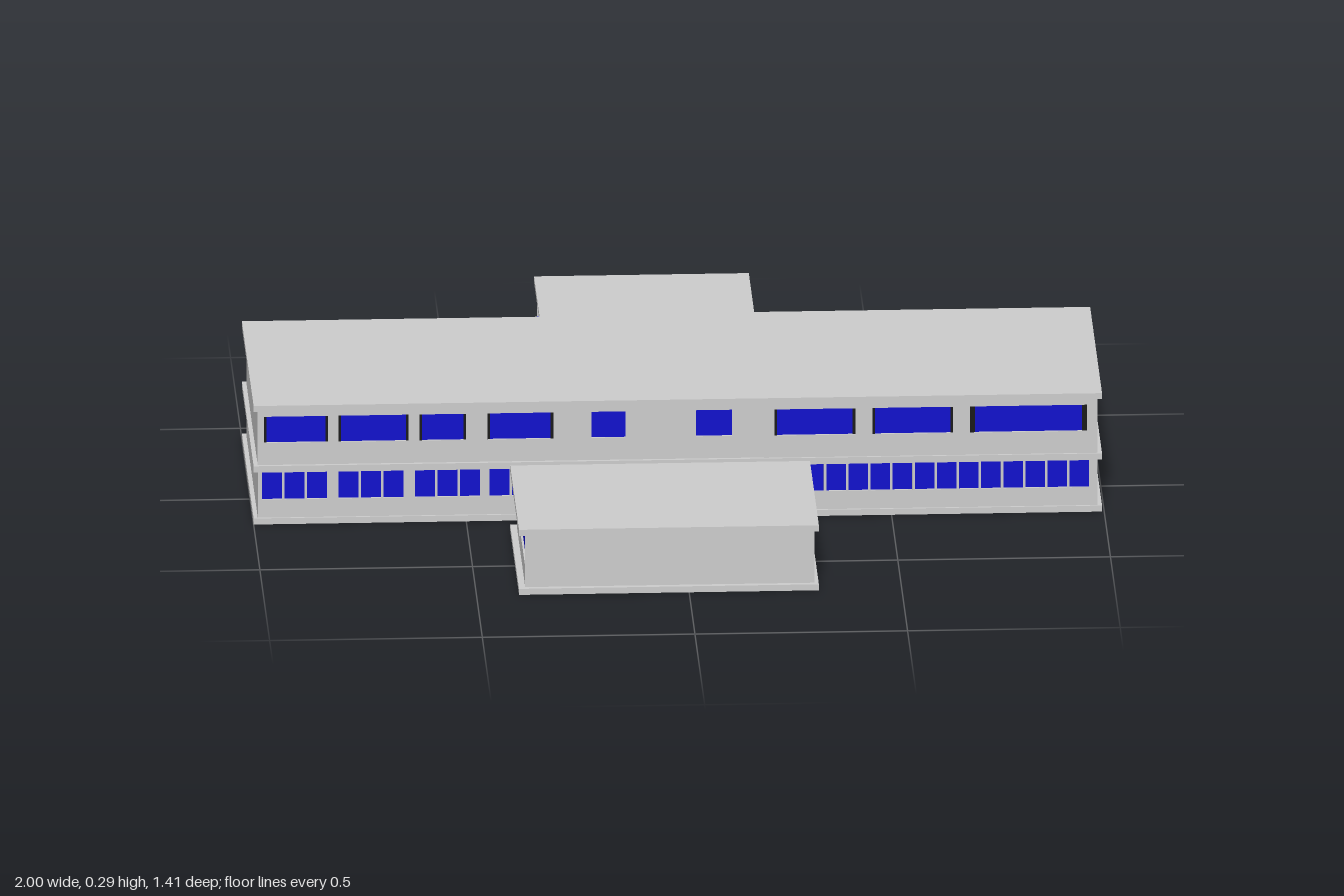
import * as THREE from 'three';

const grey = new THREE.MeshStandardMaterial({ color: 0xcccccc, flatShading: true });
const blue = new THREE.MeshStandardMaterial({ color: 0x0a0acc });
const dark = new THREE.MeshStandardMaterial({ color: 0x151515 });

function box(parent, name, mat, [x0, x1], [y0, y1], [z0, z1]) {
  const m = new THREE.Mesh(new THREE.BoxGeometry(x1 - x0, y1 - y0, z1 - z0), mat);
  m.position.set((x0 + x1) / 2, (y0 + y1) / 2, (z0 + z1) / 2);
  m.name = name;
  parent.add(m);
  return m;
}

// Row of n equal openings [x0, x1, y0, y1]
function row(x, n, pitch, width, y0, y1) {
  return Array.from({ length: n }, (_, i) => [x + i * pitch, x + i * pitch + width, y0, y1]);
}

// Wall whose outer face is local z = 0, with holes and recessed panes
function wall(parent, name, [x0, x1], [y0, y1], openings, rotY, position) {
  const g = new THREE.Group();
  g.name = name;
  const shape = new THREE.Shape([[x0, y0], [x1, y0], [x1, y1], [x0, y1]].map(p => new THREE.Vector2(...p)));
  for (const [a, b, c, d] of openings) {
    shape.holes.push(new THREE.Path([[a, c], [a, d], [b, d], [b, c]].map(p => new THREE.Vector2(...p))));
    box(g, 'windowPane', blue, [a, b], [c, d], [-0.01, -0.005]);
    // Dark jambs on the wider windows
    if (b - a > 0.1) {
      const w = b - a > 0.25 ? 0.012 : 0.006;
      box(g, 'windowJamb', dark, [a, a + w], [c, d], [-0.012, -0.002]);
      box(g, 'windowJamb', dark, [b - w, b], [c, d], [-0.012, -0.002]);
    }
  }
  const m = new THREE.Mesh(new THREE.ExtrudeGeometry(shape, { depth: 0.015, bevelEnabled: false }), grey);
  m.position.z = -0.015;
  m.name = name + 'Panel';
  g.add(m);
  g.rotation.y = rotY;
  g.position.set(...position);
  parent.add(g);
}

// Main slab with the terrace projecting at the back
function teeSlab(parent, name, y) {
  const pts = [[-1, 0.18], [0.995, 0.18], [0.995, -0.43], [0.205, -0.43], [0.205, -0.705],
    [-0.3, -0.705], [-0.3, -0.42], [-1, -0.42]];
  const geo = new THREE.ExtrudeGeometry(new THREE.Shape(pts.map(([x, z]) => new THREE.Vector2(x, -z))),
    { depth: 0.015, bevelEnabled: false });
  geo.rotateX(-Math.PI / 2);
  const m = new THREE.Mesh(geo, grey);
  m.position.y = y;
  m.name = name;
  parent.add(m);
}

function mainBlock() {
  const g = new THREE.Group();
  g.name = 'mainBlock';
  box(g, 'groundSlab', grey, [-1, 0.995], [0, 0.015], [-0.42, 0.18]);
  teeSlab(g, 'middleSlab', 0.13);
  teeSlab(g, 'roofSlab', 0.28);
  const low = [0.015, 0.13], high = [0.145, 0.28], len = [-0.99, 0.985];
  const L = [0.06, 0.127], U = [0.2, 0.265];
  const upper = list => list.map(([a, b]) => [a, b, ...U]);
  const flip = list => list.map(([a, b, c, d]) => [-b, -a, c, d]);

  // Front windows
  const frontLow = [
    ...[-0.98, -0.8, -0.62, -0.445].flatMap(x => row(x, 3, 0.053, 0.047, ...L)),
    [-0.2, -0.09, 0.02, 0.12],
    ...row(0.035, 18, 0.052, 0.046, ...L),
  ];
  const bigWindows = [[0.225, 0.415], [0.455, 0.645], [0.685, 0.96]];
  const frontHigh = upper([[-0.975, -0.825], [-0.8, -0.635], [-0.61, -0.5], [-0.45, -0.295],
    [-0.205, -0.125], [0.04, 0.125]]);
  wall(g, 'frontLowerWall', len, low, frontLow, 0, [0, 0, 0.175]);
  wall(g, 'frontUpperLeftWall', [0.2, 0.985], high, upper(bigWindows), 0, [0, 0, 0.175]);
  wall(g, 'frontUpperRightWall', [-0.99, 0.2], high, frontHigh, 0, [0, 0, 0.172]);

  // Back windows and terrace doors
  const backLow = [
    ...row(0.225, 12, 0.062, 0.053, ...L),
    [0.07, 0.2, 0.02, 0.127], [-0.25, -0.165, 0.02, 0.127], [-0.155, -0.07, 0.02, 0.127],
    ...row(-0.975, 8, 0.086, 0.072, ...L),
  ];
  const backHigh = [
    ...upper([...bigWindows, [-0.36, -0.29], [-0.46, -0.375], [-0.6, -0.53], [-0.717, -0.645],
      [-0.89, -0.83], [-0.97, -0.9]]),
    [0.08, 0.19, 0.15, 0.265],
  ];
  const backLen = [-0.985, 0.99];
  wall(g, 'backLowerWall', backLen, low, flip(backLow), Math.PI, [0, 0, -0.405]);
  wall(g, 'backUpperWall', backLen, high, flip(backHigh), Math.PI, [0, 0, -0.405]);

  // Blank end walls
  for (const ys of [low, high]) {
    wall(g, 'leftEndWall', [-0.157, 0.39], ys, [], Math.PI / 2, [0.985, 0, 0]);
    wall(g, 'rightEndWall', [-0.39, 0.157], ys, [], -Math.PI / 2, [-0.99, 0, 0]);
  }
  return g;
}

function terrace() {
  const g = new THREE.Group();
  g.name = 'terrace';
  // Slender columns carrying the roof
  for (const x of [-0.29, -0.047, 0.195]) {
    const c = new THREE.Mesh(new THREE.CylinderGeometry(0.004, 0.004, 0.265, 12), grey);
    c.position.set(x, 0.1525, -0.692);
    c.name = 'column';
    g.add(c);
  }
  // Balusters on three sides
  const baluster = (x, z) =>
    box(g, 'baluster', blue, [x - 0.0025, x + 0.0025], [0.16, 0.205], [z - 0.0025, z + 0.0025]);
  for (let i = 0; i < 8; i++) {
    const z = -0.43 - i * 0.0354;
    baluster(-0.292, z);
    baluster(0.197, z);
  }
  for (let i = 1; i < 14; i++) baluster(-0.292 + i * 0.0349, -0.692);
  return g;
}

function frontWing() {
  const g = new THREE.Group();
  g.name = 'frontWing';
  box(g, 'wingFloor', grey, [-0.4, 0.305], [0, 0.015], [0.25, 0.705]);
  box(g, 'wingRoof', grey, [-0.4, 0.305], [0.147, 0.162], [0.25, 0.705]);
  const ys = [0.015, 0.147], y = [0.065, 0.135];
  wall(g, 'wingFrontWall', [-0.385, 0.295], ys, [], 0, [0, 0, 0.693]);
  wall(g, 'wingBackWall', [-0.295, 0.385], ys,
    [[0.19, 0.25, 0.02, 0.13], [0.258, 0.318, 0.02, 0.13]], Math.PI, [0, 0, 0.267]);
  wall(g, 'wingLeftWall', [-0.678, -0.282], ys, [[-0.675, -0.3, ...y]], Math.PI / 2, [0.295, 0, 0]);
  wall(g, 'wingRightWall', [0.282, 0.678], ys, [[0.3, 0.675, ...y]], -Math.PI / 2, [-0.385, 0, 0]);
  return g;
}

export function createModel() {
  const model = new THREE.Group();
  model.name = 'building';
  model.add(mainBlock(), terrace(), frontWing());
  return model;
}
